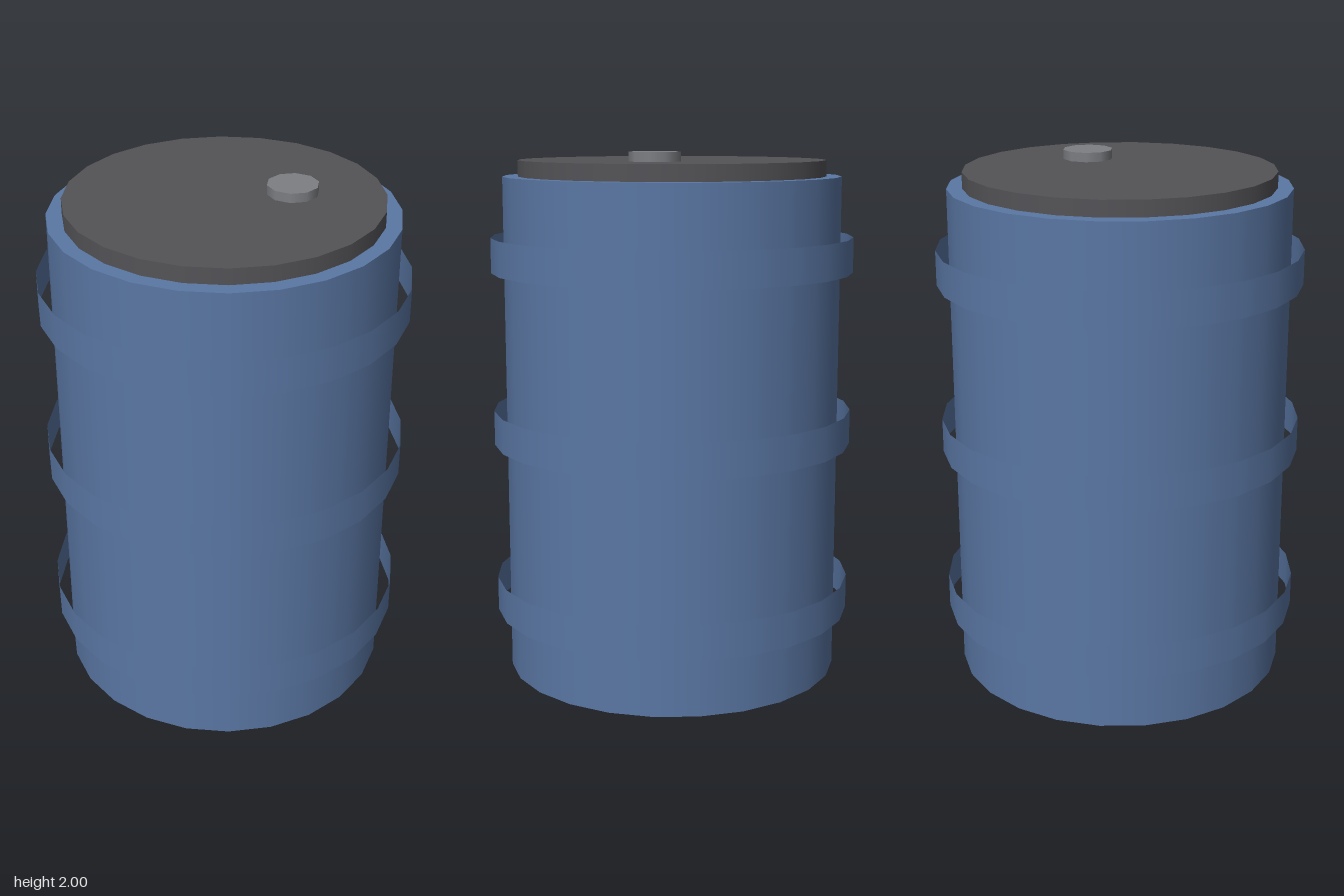
import * as THREE from 'three';

export function createModel() {
  const group = new THREE.Group();

  const material = (name, color, side = THREE.FrontSide) => {
    const m = new THREE.MeshStandardMaterial({ color, side });
    m.name = name;
    return m;
  };
  // Double-sided because the bands are open rings with a visible inside
  const blue = material('drumBlue', 0x5a77a4, THREE.DoubleSide);
  const dark = material('lidDarkGrey', 0x545357);
  const grey = material('capGrey', 0x7d7f83);

  // Upright cylinder between two heights
  const addCylinder = (name, mat, radius, y0, y1, sides = 24, open = false) => {
    const geometry = new THREE.CylinderGeometry(radius, radius, y1 - y0, sides, 1, open);
    const mesh = new THREE.Mesh(geometry, mat);
    mesh.name = name;
    mesh.position.y = (y0 + y1) / 2;
    group.add(mesh);
    return mesh;
  };

  // Drum and its lid
  addCylinder('drumBody', blue, 0.638, 0, 1.905);
  addCylinder('lid', dark, 0.58, 1.905, 1.965);

  // Three open hoops standing clear of the drum wall
  ['lowerBand', 'middleBand', 'upperBand'].forEach((name, i) => {
    const y = 0.295 + i * 0.659;
    addCylinder(name, blue, 0.687, y - 0.066, y + 0.066, 24, true);
  });

  // Ten-sided filler cap, set off-centre with corners along x
  const cap = addCylinder('fillerCap', grey, 0.095, 1.965, 2, 10);
  cap.position.x = 0.193;
  cap.position.z = 0.153;
  cap.rotation.y = Math.PI / 2;

  return group;
}
